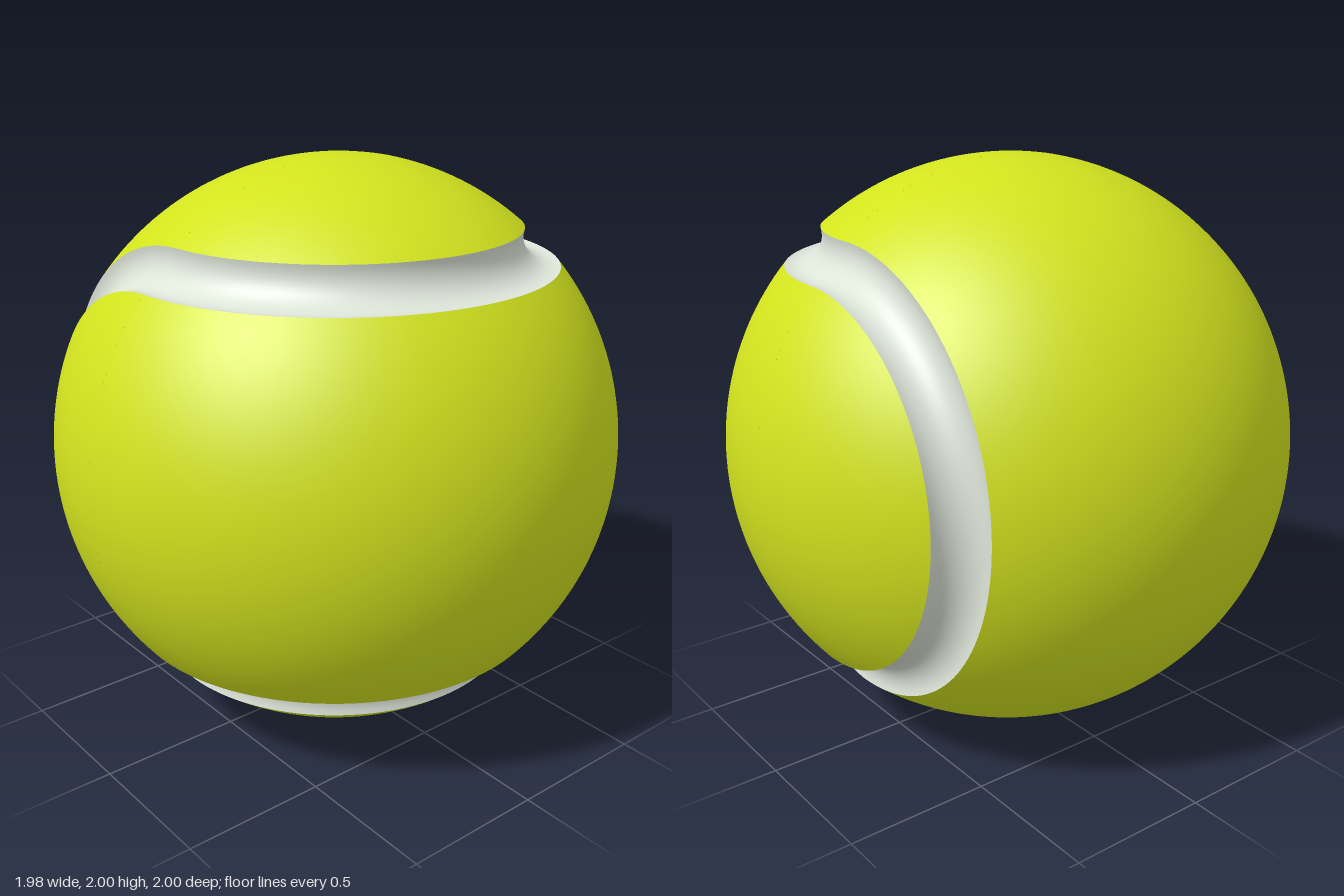
import * as THREE from 'three';

const RAD = Math.PI / 180;
const EDGE = 5.1 * RAD;   // half the angular width of the seam
const DEPTH = 0.052;      // seam depth below its two edges
const SQUASH = 0.012;     // each half is set in slightly towards x = 0

// Arc of the unit ball, from polar angle a to b (degrees from the pole axis)
function ballArc(a, b, steps) {
  return Array.from({ length: steps + 1 }, (_, i) => {
    const t = a + (b - a) * i / steps;
    return new THREE.Vector2(Math.max(0, Math.sin(t)), Math.cos(t));
  });
}

// Concave circular channel centred on polar angle mid
function channel(mid, steps) {
  const h = Math.sin(EDGE);
  const R = (h * h + DEPTH * DEPTH) / (2 * DEPTH);
  const centre = Math.cos(EDGE) - DEPTH + R;
  const max = Math.asin(h / R);
  return Array.from({ length: steps + 1 }, (_, i) => {
    const a = max * (1 - 2 * i / steps);
    const w = centre - R * Math.cos(a), u = R * Math.sin(a);
    return new THREE.Vector2(
      w * Math.sin(mid) + u * Math.cos(mid),
      w * Math.cos(mid) - u * Math.sin(mid));
  });
}

// Half-turn surface on the +x side, moved in and trimmed at x = 0
function halfTurn(points) {
  const geo = new THREE.LatheGeometry(points, 72, 0, Math.PI);
  const p = geo.attributes.position;
  for (let i = 0; i < p.count; i++) p.setX(i, Math.max(0, p.getX(i) - SQUASH));
  return geo;
}

export function createModel() {
  const felt = new THREE.MeshStandardMaterial({ color: 0xd2e31e });
  const rubber = new THREE.MeshStandardMaterial({ color: 0xdde4d8 });

  const low = 135 * RAD, high = 45 * RAD;
  const parts = [
    ['lowerFeltCap', ballArc(Math.PI, low + EDGE, 24), felt],
    ['lowerSeam', channel(low, 14), rubber],
    ['feltBelt', ballArc(low - EDGE, high + EDGE, 44), felt],
    ['upperSeam', channel(high, 14), rubber],
    ['upperFeltCap', ballArc(high - EDGE, 0, 24), felt],
  ].map(([name, points, material]) => ({ name, material, geo: halfTurn(points) }));

  const model = new THREE.Group();
  model.name = 'ball';

  // Two equal halves, one turned so that the seams meet in one winding line
  for (const side of ['left', 'right']) {
    const half = new THREE.Group();
    half.name = side + 'Half';
    for (const { name, geo, material } of parts) {
      const mesh = new THREE.Mesh(geo, material);
      mesh.name = name;
      half.add(mesh);
    }
    if (side === 'right') {
      half.quaternion.setFromAxisAngle(new THREE.Vector3(0, 1, 1).normalize(), Math.PI);
    }
    half.position.y = 1;
    model.add(half);
  }
  return model;
}
